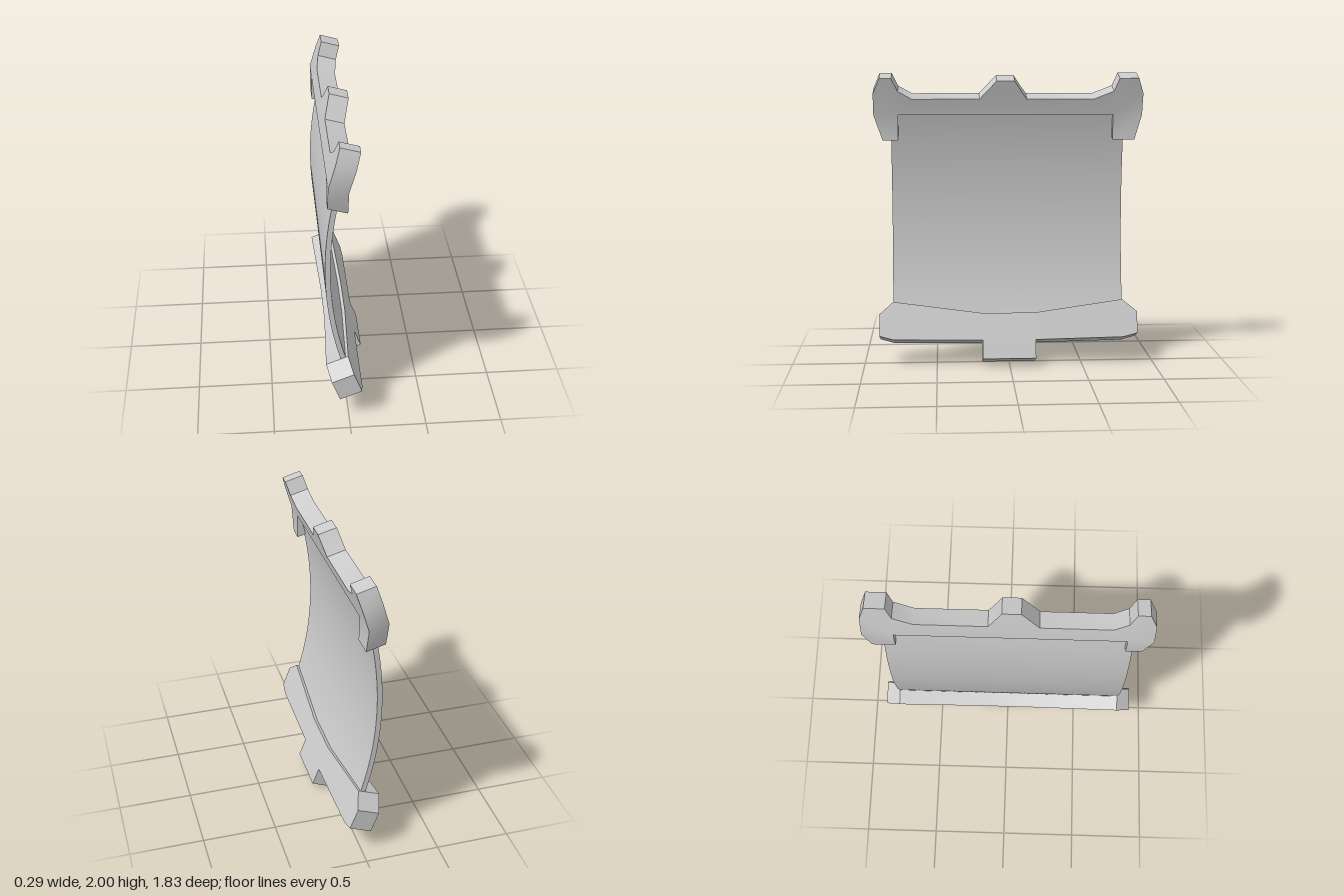
import * as THREE from 'three';
import { mergeGeometries, toCreasedNormals } from 'three/addons/utils/BufferGeometryUtils.js';

const CREASE = 0.55;

// Slab seen from +x: outline holds [z, y] of its front face, frontX gives the
// depth of that face at a height, and back is the [x, y] step to the rear face.
function slab(outline, frontX, back) {
  const shape = new THREE.Shape(outline.map(([z, y]) => new THREE.Vector2(-z, y)));
  const geo = new THREE.ExtrudeGeometry(shape, { depth: 1, bevelEnabled: false });
  const p = geo.attributes.position;
  for (let i = 0; i < p.count; i++) {
    const y = p.getY(i), t = 1 - p.getZ(i);
    p.setXYZ(i, frontX(y) + back[0] * t, y + back[1] * t, -p.getX(i));
  }
  return geo;
}

export function createModel() {
  const group = new THREE.Group();
  const material = new THREE.MeshStandardMaterial({ color: 0xcccccc });
  const add = (name, geo) => {
    const mesh = new THREE.Mesh(toCreasedNormals(geo, CREASE), material);
    mesh.name = name;
    group.add(mesh);
  };

  // Thin bowed panel: a ring sector extruded across the width
  const cx = 2.252, cy = 1.1, outer = 2.4, inner = 2.366;
  const top = Math.PI - 0.287, bottom = Math.PI + 0.349;
  const arc = new THREE.Shape();
  arc.absarc(cx, cy, outer, top, bottom, false);
  arc.absarc(cx, cy, inner, bottom, top, true);
  const panel = new THREE.ExtrudeGeometry(arc, { depth: 1.59, bevelEnabled: false, curveSegments: 28 });
  panel.translate(0, 0, -0.79);
  add('curvedPanel', panel);

  // Upper rail: leaning crest with two horns and a centre bump, folded to upright feet
  const fold = 1.72;
  const crestX = (y) => -0.01 + 0.296 * Math.max(0, y - fold);
  const crestBack = [-0.125, 0.035];
  const crest = [
    [0.915, fold], [0.75, fold], [-0.71, fold], [-0.91, fold],
    [-0.91, 1.865], [-0.875, 1.967], [-0.745, 1.967], [-0.71, 1.88], [-0.58, 1.828],
    [-0.12, 1.828], [-0.085, 1.875], [-0.035, 1.95], [0.085, 1.95], [0.137, 1.895], [0.2, 1.828],
    [0.655, 1.828], [0.748, 1.88], [0.79, 1.967], [0.87, 1.967], [0.915, 1.865],
  ];
  const leftFoot = [[0.855, 1.55], [0.75, 1.55], [0.75, fold], [0.915, fold]];
  const rightFoot = [[-0.71, 1.55], [-0.86, 1.55], [-0.91, fold], [-0.71, fold]];
  add('upperRail', mergeGeometries([crest, leftFoot, rightFoot].map((o) => slab(o, crestX, crestBack))));

  // Lower rail: tilted bar with a dipped upper edge and a centre tab
  const lower = [
    [0.895, 0.215], [0.8, 0.19], [0.185, 0.18], [0.185, 0.06],
    [-0.18, 0.06], [-0.18, 0.18], [-0.79, 0.19], [-0.89, 0.215],
    [-0.89, 0.355], [-0.79, 0.435], [-0.18, 0.355], [0.18, 0.355], [0.8, 0.435], [0.895, 0.355],
  ];
  add('lowerRail', slab(lower, (y) => 0.145 - 0.387 * (y - 0.06), [-0.145, -0.058]));

  return group;
}
